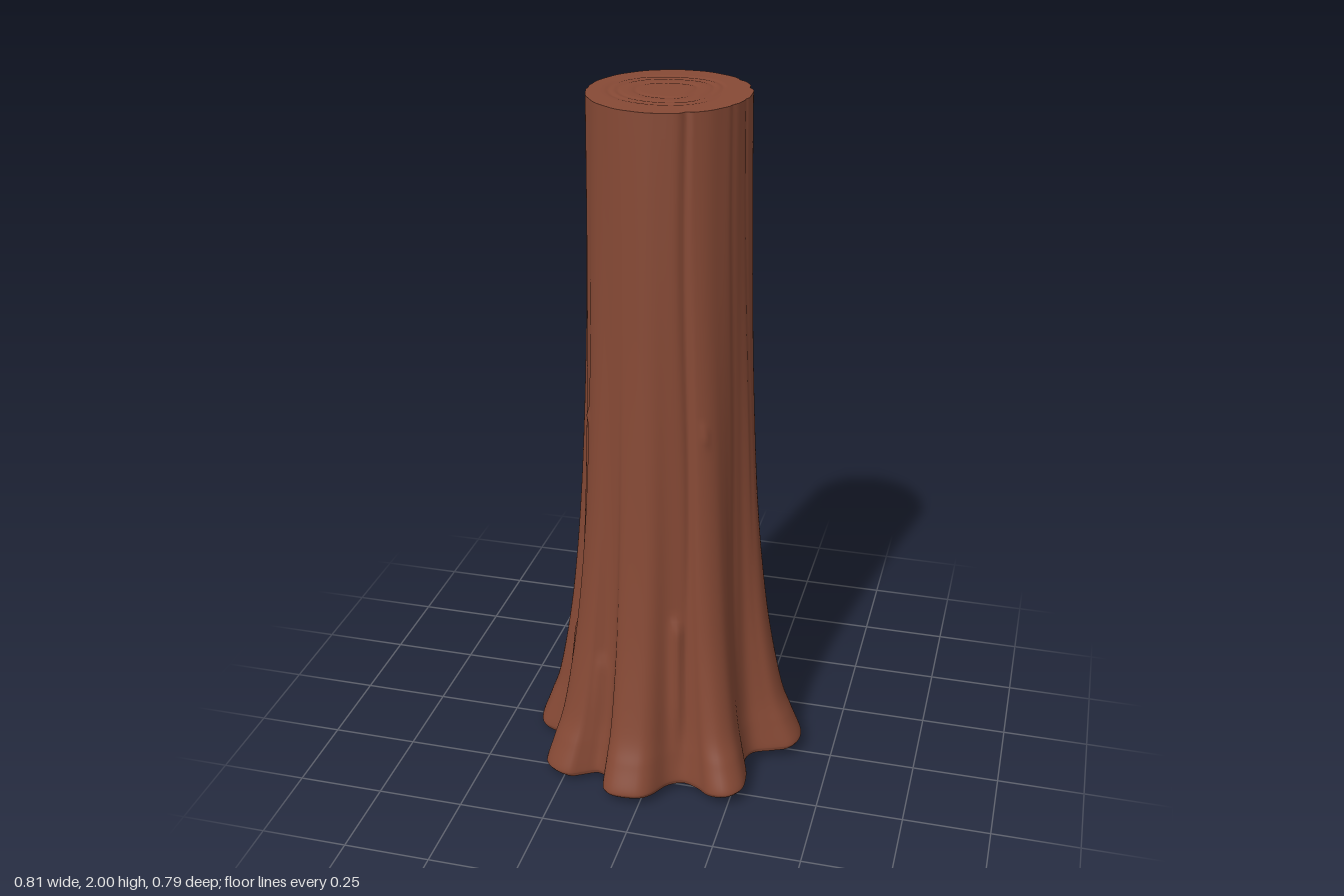
import * as THREE from 'three';

const SEGMENTS = 240;

// Root outline at ground level, as x, z pairs running counter-clockwise seen from above
const ROOTS = [
  0.403, 0, 0.39, -0.06, 0.345, -0.1, 0.265, -0.125, 0.258, -0.165, 0.275, -0.225, 0.272, -0.28,
  0.245, -0.31, 0.205, -0.317, 0.16, -0.28, 0.1, -0.277, 0.075, -0.31, 0.055, -0.37, 0.02, -0.392,
  -0.04, -0.39, -0.08, -0.36, -0.1, -0.3, -0.14, -0.277, -0.19, -0.31, -0.24, -0.322, -0.295, -0.3,
  -0.315, -0.265, -0.29, -0.21, -0.265, -0.165, -0.28, -0.11, -0.35, -0.085, -0.395, -0.05,
  -0.404, 0.01, -0.385, 0.07, -0.35, 0.09, -0.295, 0.11, -0.306, 0.15, -0.29, 0.19, -0.315, 0.25,
  -0.29, 0.29, -0.23, 0.315, -0.19, 0.297, -0.15, 0.28, -0.12, 0.3, -0.11, 0.36, -0.08, 0.386,
  0, 0.386, 0.03, 0.365, 0.07, 0.3, 0.11, 0.28, 0.16, 0.3, 0.2, 0.33, 0.25, 0.33, 0.285, 0.29,
  0.285, 0.22, 0.265, 0.14, 0.28, 0.09, 0.34, 0.065, 0.385, 0.045,
];

// Flare of the trunk: amount of root outline, height
const FLARE = [
  [0.95, 0], [0.99, 0.008], [1, 0.025], [0.85, 0.1], [0.67, 0.2], [0.47, 0.4], [0.33, 0.6],
  [0.23, 0.8], [0.16, 1], [0.095, 1.25], [0.05, 1.5], [0.02, 1.75], [0, 2],
];

// Bark cracks: angle, depth, width
const CRACKS = [[1.13, 0.009, 0.05], [0.45, 0.004, 0.05], [0.12, 0.004, 0.04], [-0.45, 0.006, 0.06],
  [-0.85, 0.004, 0.04], [3.1, 0.004, 0.04]];

// Raised bark straps between the roots: angle, top height, thickness, width
const STRAPS = [[1.25, 0.56, 0.016, 0.06], [2.68, 0.45, 0.012, 0.06], [2.1, 0.4, 0.01, 0.05], [-1.95, 0.5, 0.012, 0.05]];

// Small knots: angle, height
const KNOTS = [[0.93, 1.12], [2.5, 1.12], [-2.95, 1.3]];

const bump = (d, width) => Math.exp(-(d * d) / (width * width));
const turn = (a, b) => Math.atan2(Math.sin(a - b), Math.cos(a - b));

function sampleRoots() {
  const points = [];
  for (let i = 0; i < ROOTS.length; i += 2) points.push(new THREE.Vector3(ROOTS[i], 0, ROOTS[i + 1]));
  return new THREE.CatmullRomCurve3(points, true).getSpacedPoints(SEGMENTS).slice(0, SEGMENTS)
    .map((p) => ({ angle: Math.atan2(p.z, p.x), radius: Math.hypot(p.x, p.z) }));
}

// Joins closed cross-sections with smooth normals
function loft(rows) {
  const index = [];
  for (let i = 0; i < rows.length - 1; i++) {
    for (let j = 0; j < SEGMENTS; j++) {
      const k = (j + 1) % SEGMENTS;
      const a = i * SEGMENTS + j, b = i * SEGMENTS + k;
      index.push(a, b, a + SEGMENTS, b, b + SEGMENTS, a + SEGMENTS);
    }
  }
  const geometry = new THREE.BufferGeometry();
  geometry.setAttribute('position', new THREE.Float32BufferAttribute(rows.flat(2), 3));
  geometry.setIndex(index);
  geometry.computeVertexNormals();
  return geometry;
}

// One point of the bark surface
function barkPoint({ angle, radius }, flare, height) {
  const c = Math.cos(angle), s = Math.sin(angle);
  const topRadius = 0.2235 - 0.004 * c - 0.004 * s - 0.0075 * Math.cos(2 * angle);
  let r = THREE.MathUtils.lerp(topRadius, radius, flare);
  const upper = THREE.MathUtils.smoothstep(height, 0.2, 0.8);
  for (const [a, depth, width] of CRACKS) {
    r -= upper * depth * bump(turn(angle, a + 0.03 * Math.sin(height * 4 + a)), width);
  }
  for (const [a, top, thick, width] of STRAPS) {
    const fade = THREE.MathUtils.smoothstep(height, 0.05, 0.3) * (1 - THREE.MathUtils.smoothstep(height, top - 0.04, top + 0.02));
    r += fade * thick * bump(turn(angle, a), width);
  }
  for (const [a, y] of KNOTS) r += 0.008 * bump(turn(angle, a), 0.05) * bump(height - y, 0.018);
  r += 0.0008 * upper * Math.sin(angle * 17 + Math.sin(height * 3));
  // The ground edge tilts slightly and lifts at the front and back
  const x = r * c, z = r * s;
  const lift = (0.02 + 0.045 * x + 0.06 * z * z) * Math.max(0, 1 - height / 0.5);
  return [x, height + lift, z];
}

export function createModel() {
  const bark = new THREE.MeshStandardMaterial({ color: 0x864935 });
  bark.name = 'reddish brown bark';
  const earth = new THREE.MeshStandardMaterial({ color: 0x9a745a });
  earth.name = 'pale brown underside';

  const roots = sampleRoots();
  const profile = new THREE.SplineCurve(FLARE.map(([w, y]) => new THREE.Vector2(w, y))).getPoints(110);
  const trunkRows = profile.map((p) => roots.map((root) => barkPoint(root, p.x, p.y)));
  const bottomRim = trunkRows[0];
  const topRim = trunkRows[trunkRows.length - 1];

  // Sawn top with shallow, uneven growth rings
  const capRows = [];
  const steps = 56;
  for (let i = 0; i <= steps; i++) {
    const t = 1 - i / steps;
    capRows.push(topRim.map(([rx, , rz]) => {
      const x = rx * t, z = rz * t;
      const angle = Math.atan2(z + 0.015, x + 0.015);
      const d = Math.hypot(x + 0.015, z + 0.015) + 0.004 * Math.sin(angle * 3 + 1) + 0.003 * Math.cos(angle * 4);
      let y = 2;
      for (const ring of [0.08, 0.125, 0.15]) y -= 0.0022 * bump(d - ring, 0.007);
      return [x, y, z];
    }));
  }

  // Slightly hollow underside
  const baseRows = [];
  for (let i = 0; i <= 8; i++) {
    const t = i / 8;
    baseRows.push(bottomRim.map(([x, y, z]) => [x * t, THREE.MathUtils.lerp(0.025, y, t * t), z * t]));
  }

  const group = new THREE.Group();
  group.name = 'treeTrunk';
  for (const [name, rows, material] of [
    ['trunkAndRoots', trunkRows, bark],
    ['sawnTop', capRows, bark],
    ['underside', baseRows, earth],
  ]) {
    const mesh = new THREE.Mesh(loft(rows), material);
    mesh.name = name;
    group.add(mesh);
  }
  return group;
}
